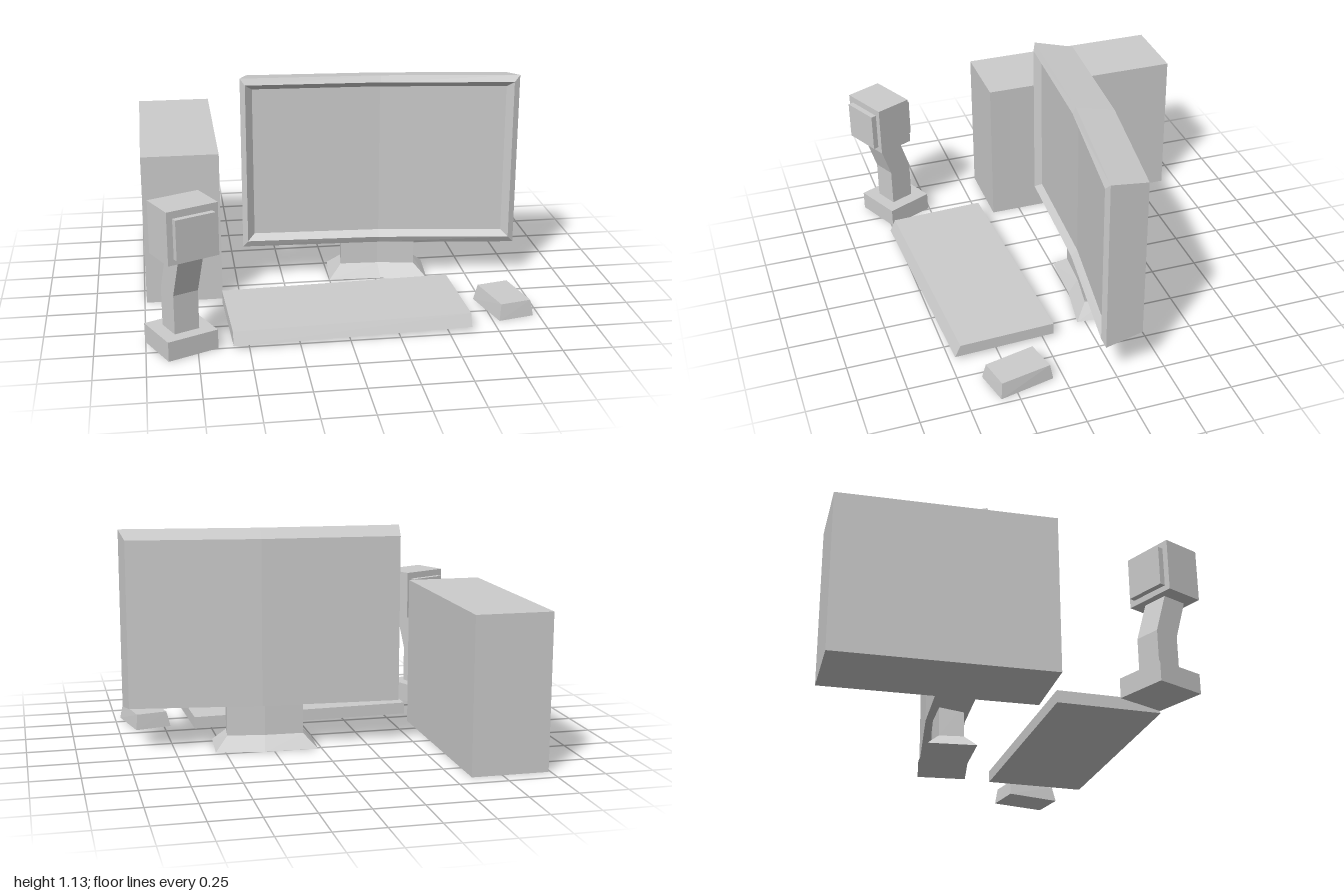
import * as THREE from 'three';

const material = new THREE.MeshStandardMaterial({ color: 0xcccccc, flatShading: true });

// Skins a stack of rings; each ring runs out along one edge and back along the other,
// so the end caps are closed by quads between the two edges.
function loft(name, rings) {
  const pos = [];
  const quad = (a, b, c, d) => pos.push(...a, ...b, ...c, ...a, ...c, ...d);
  const n = rings[0].length;
  for (let k = 0; k < rings.length - 1; k++) {
    for (let i = 0; i < n; i++) {
      const j = (i + 1) % n;
      quad(rings[k][i], rings[k][j], rings[k + 1][j], rings[k + 1][i]);
    }
  }
  const first = rings[0], last = rings[rings.length - 1];
  for (let i = 0; i < n / 2 - 1; i++) {
    quad(last[i], last[i + 1], last[n - 2 - i], last[n - 1 - i]);
    quad(first[n - 1 - i], first[n - 2 - i], first[i + 1], first[i]);
  }
  const geometry = new THREE.BufferGeometry();
  geometry.setAttribute('position', new THREE.Float32BufferAttribute(pos, 3));
  geometry.computeVertexNormals();
  const mesh = new THREE.Mesh(geometry, material);
  mesh.name = name;
  return mesh;
}

// Horizontal ring at height y: front points left to right, then back points right to left
const level = (y, points) => points.map(([x, z]) => [x, y, z]);

// Upright ring following [x, z] columns between two heights
const frame = (y0, y1, columns) => [
  ...columns.map(([x, z]) => [x, y0, z]),
  ...[...columns].reverse().map(([x, z]) => [x, y1, z]),
];

function box(name, w, h, d, x, y, z) {
  const mesh = new THREE.Mesh(new THREE.BoxGeometry(w, h, d), material);
  mesh.name = name;
  mesh.position.set(x, y, z);
  return mesh;
}

function createMonitor() {
  const group = new THREE.Group();
  group.name = 'monitor';
  // Curved housing: back, outer rim, raised bezel ridge, recessed screen
  group.add(loft('screenHousing', [
    frame(0.235, 1.10, [[-0.414, -0.262], [0.305, -0.226], [0.981, -0.134]]),
    frame(0.20, 1.134, [[-0.463, -0.064], [0.275, -0.032], [0.997, 0.062]]),
    frame(0.235, 1.10, [[-0.437, -0.048], [0.273, -0.016], [0.965, 0.077]]),
    frame(0.267, 1.07, [[-0.399, -0.08], [0.273, -0.05], [0.932, 0.04]]),
  ]));
  // Flared foot rising into the curved neck
  const neck = [[0.07, -0.065], [0.27, -0.055], [0.465, -0.025],
    [0.48, -0.16], [0.285, -0.19], [0.085, -0.195]];
  group.add(loft('monitorStand', [
    level(0, [[0, -0.01], [0.28, 0], [0.53, 0.04], [0.55, -0.22], [0.3, -0.262], [0.02, -0.267]]),
    level(0.07, neck),
    level(0.25, neck),
  ]));
  return group;
}

function createWebcam() {
  const group = new THREE.Group();
  group.name = 'webcam';
  group.position.set(-0.827, 0, 0.683);
  group.rotation.y = 0.437;
  const lean = 0.067, s = 0.066;
  const section = (y, z) => level(y, [[-s, z + s], [s, z + s], [s, z - s], [-s, z - s]]);
  group.add(
    box('webcamBase', 0.268, 0.1, 0.26, 0, 0.05, 0),
    loft('webcamNeck', [section(0.1, 0), section(0.3, 0), section(0.5, lean)]),
    box('webcamHead', 0.268, 0.265, 0.2, 0, 0.635, lean),
  );
  // Raised panels on the front and back of the head
  for (const [name, side] of [['frontPanel', 1], ['backPanel', -1]]) {
    group.add(box(name, 0.208, 0.2, 0.03, 0, 0.632, lean + side * 0.115));
  }
  return group;
}

export function createModel() {
  const model = new THREE.Group();
  model.name = 'desktopComputer';

  model.add(box('computerTower', 0.397, 0.8, 1.067, -0.791, 0.4, -0.377));
  model.add(createMonitor());

  // Keyboard slab with a sloping front edge
  model.add(loft('keyboard', [
    level(0.02, [[-0.578, 0.775], [0.618, 0.722], [0.6, 0.195], [-0.6, 0.245]]),
    level(0.083, [[-0.579, 0.745], [0.617, 0.692], [0.6, 0.195], [-0.6, 0.245]]),
  ]));

  // Mouse tapering towards the top
  model.add(loft('mouse', [
    level(0, [[0.783, 0.631], [0.97, 0.588], [0.906, 0.302], [0.714, 0.346]]),
    level(0.083, [[0.794, 0.613], [0.954, 0.578], [0.9, 0.316], [0.735, 0.353]]),
  ]));

  model.add(createWebcam());
  return model;
}
